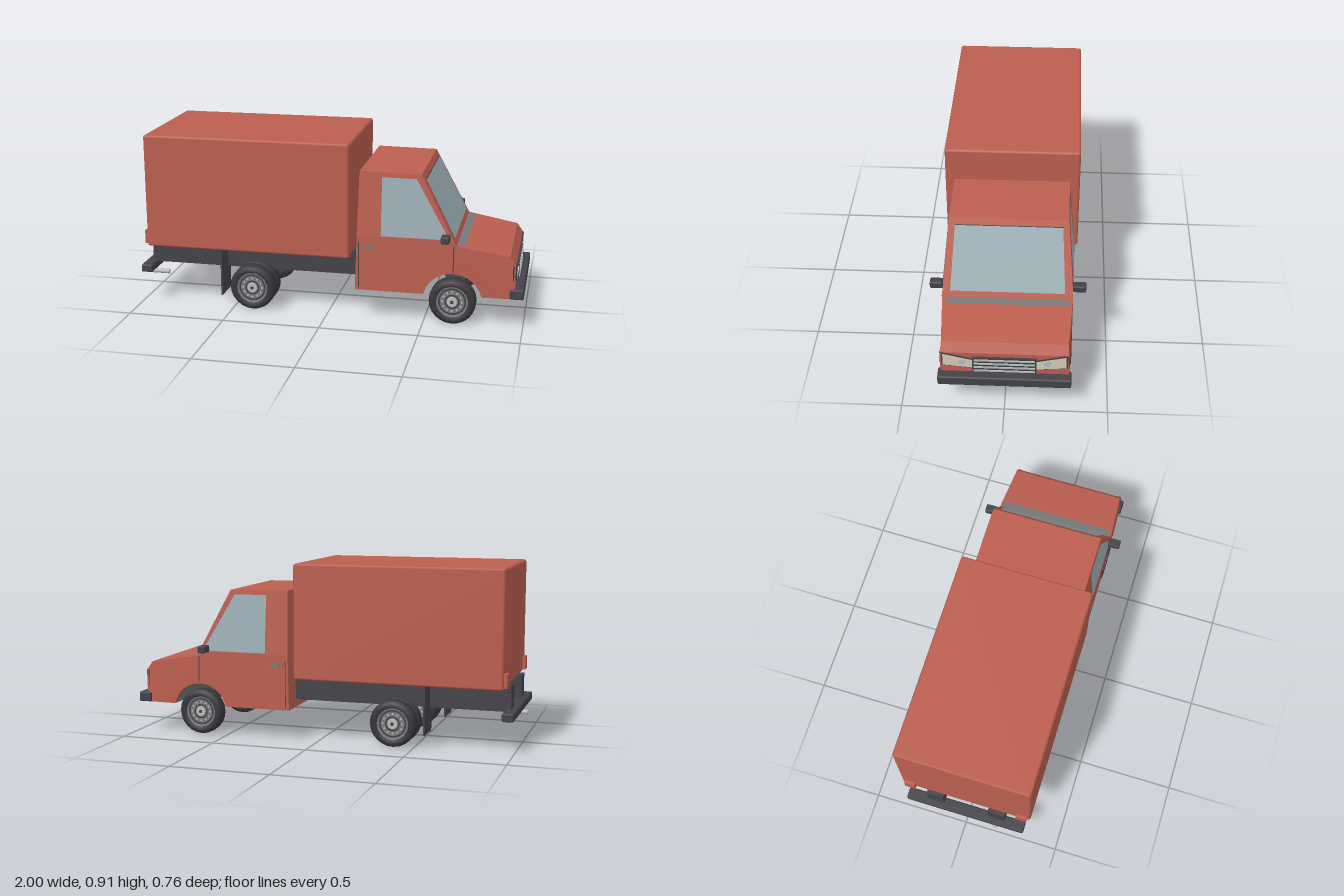
import * as THREE from 'three';
import { RoundedBoxGeometry } from 'three/addons/geometries/RoundedBoxGeometry.js';

const mat = (name, color, side = THREE.FrontSide) => {
  const m = new THREE.MeshStandardMaterial({ color, side });
  m.name = name;
  return m;
};

export function createModel() {
  const truck = new THREE.Group();
  truck.name = 'boxTruck';
  const paint = mat('red paint', 0xbb5e4f);
  const dark = mat('dark plastic', 0x434348, THREE.DoubleSide);
  const rubber = mat('tyre rubber', 0x38383c);
  const glass = mat('window glass', 0x9cafb5, THREE.DoubleSide);
  const lamp = mat('headlight cream', 0xd2ceb6, THREE.DoubleSide);
  const steel = mat('rim grey', 0x77797b, THREE.DoubleSide);
  const chrome = mat('chrome', 0xbcbcbc);

  const add = (name, geo, material, parent = truck) => {
    const m = new THREE.Mesh(geo, material);
    m.name = name;
    parent.add(m);
    return m;
  };
  // box given by its limits on each axis, optionally chamfered
  const block = (name, x0, x1, y0, y1, z0, z1, material, r = 0) => {
    const s = [x1 - x0, y1 - y0, Math.abs(z1 - z0)];
    const geo = r ? new RoundedBoxGeometry(...s, 1, r) : new THREE.BoxGeometry(...s);
    const m = add(name, geo, material);
    m.position.set((x0 + x1) / 2, (y0 + y1) / 2, (z0 + z1) / 2);
    return m;
  };
  // flat four-cornered panel
  const panel = (name, corners, material) => {
    const g = new THREE.BufferGeometry();
    g.setAttribute('position', new THREE.Float32BufferAttribute(
      [0, 1, 2, 0, 2, 3].flatMap(i => corners[i]), 3));
    g.computeVertexNormals();
    return add(name, g, material);
  };
  // half width of the cab at a point of its side profile
  const half = (x, y) => {
    if (y > 0.44) return 0.319 - 0.029 * (y - 0.44) / 0.328;
    const taper = Math.max(0, (x - 0.66) / 0.295);
    return 0.322 - 0.003 * (y - 0.155) / 0.285 - taper * 0.014
      - (y > 0.36 ? taper * 0.006 : 0);
  };
  // side profile extruded across the truck, then shaped to the half width
  const body = (name, shape) => {
    const g = new THREE.ExtrudeGeometry(shape, { depth: 2, bevelEnabled: false, curveSegments: 12 });
    const p = g.attributes.position;
    for (let i = 0; i < p.count; i++) {
      p.setZ(i, (p.getZ(i) - 1) * half(p.getX(i), p.getY(i)));
    }
    g.computeVertexNormals();
    return add(name, g, paint);
  };

  // Cargo box and frame
  block('cargoBox', -0.95, 0.12, 0.32, 0.91, -0.342, 0.342, paint, 0.012);
  block('rearBumper', -1, -0.94, 0.165, 0.207, -0.318, 0.318, dark, 0.008);
  for (const s of [1, -1]) {
    block('frameRail', -0.97, 0.17, 0.195, 0.325, s * 0.12, s * 0.21, dark);
    block('mudFlap', -0.561, -0.553, 0.07, 0.322, s * 0.17, s * 0.32, dark);
    block('tailLight', -0.966, -0.945, 0.33, 0.4, s * 0.27, s * 0.325, paint);
  }
  const exhaust = add('exhaustPipe', new THREE.CylinderGeometry(0.013, 0.013, 0.1, 12), chrome);
  exhaust.rotation.z = Math.PI / 2;
  exhaust.position.set(-0.95, 0.125, 0.164);

  // Lower cab with hood and wheel arches
  const lower = new THREE.Shape();
  lower.moveTo(0.15, 0.155);
  lower.lineTo(0.499, 0.155);
  lower.absarc(0.645, 0.12, 0.15, Math.PI - 0.236, 0.236, true);
  lower.lineTo(0.955, 0.155);
  lower.lineTo(0.955, 0.327);
  lower.lineTo(0.925, 0.371);
  lower.lineTo(0.66, 0.415);
  lower.lineTo(0.647, 0.44);
  lower.lineTo(0.157, 0.44);
  body('lowerCab', lower);

  // Upper cab
  body('upperCab', new THREE.Shape([[0.157, 0.44], [0.647, 0.44], [0.477, 0.764], [0.165, 0.768]]
    .map(p => new THREE.Vector2(...p))));

  // Windscreen and cowl strip
  panel('windscreen', [[0.649, 0.446, 0.28], [0.649, 0.446, -0.28],
    [0.498, 0.734, -0.262], [0.498, 0.734, 0.262]], glass);
  panel('windscreenTrim', [[0.498, 0.734, 0.264], [0.498, 0.734, -0.264],
    [0.496, 0.738, -0.264], [0.496, 0.738, 0.264]], dark);
  panel('cowlStrip', [[0.664, 0.418, 0.3], [0.664, 0.418, -0.3],
    [0.7, 0.412, -0.3], [0.7, 0.412, 0.3]], steel);

  // Wheel arch liner and front crossmember
  const liner = add('archLiner', new THREE.CylinderGeometry(0.147, 0.147, 0.6, 10, 1, true,
    Math.PI / 2 + 0.25, 1.25).rotateX(Math.PI / 2), steel);
  liner.position.set(0.645, 0.12, 0);
  block('frontCrossmember', 0.6, 0.7, 0.17, 0.22, -0.25, 0.25, dark);

  // Cab side details
  for (const s of [1, -1]) {
    const onSide = ([x, y]) => [x, y, s * (half(x, y) + 0.003)];
    panel('sideWindow', [[0.28, 0.445], [0.625, 0.445], [0.453, 0.742], [0.28, 0.742]].map(onSide), glass);
    panel('rearDoorSeam', [[0.166, 0.17], [0.171, 0.17], [0.171, 0.41], [0.166, 0.41]].map(onSide), dark);
    panel('frontDoorSeam', [[0.645, 0.275], [0.65, 0.275], [0.65, 0.415], [0.645, 0.415]].map(onSide), dark);
    block('doorHandle', 0.2, 0.245, 0.378, 0.392, s * 0.315, s * 0.328, steel);
    block('mirror', 0.587, 0.63, 0.439, 0.476, s * 0.318, s * 0.382, dark, 0.007);

    // Headlight with surround and bulb
    const onNose = x => ([z, y]) => [x, y, s * z];
    panel('headlightSurround', [[0.298, 0.329], [0.15, 0.293], [0.15, 0.234], [0.298, 0.247]]
      .map(onNose(0.957)), dark);
    panel('headlight', [[0.294, 0.322], [0.153, 0.288], [0.153, 0.239], [0.294, 0.252]]
      .map(onNose(0.961)), lamp);
    panel('lightCorner', [[0.961, 0.327, s * 0.298], [0.961, 0.25, s * 0.298],
      [0.942, 0.25, s * 0.31], [0.942, 0.327, s * 0.31]], dark);
    const bulb = add('headlightBulb', new THREE.CylinderGeometry(0.017, 0.017, 0.006, 16), chrome);
    bulb.rotation.z = -Math.PI / 2;
    bulb.position.set(0.962, 0.277, s * 0.204);
  }

  // Grille and front bumper
  block('grille', 0.95, 0.965, 0.215, 0.306, -0.153, 0.153, dark);
  for (let i = 0; i < 4; i++) {
    const y = 0.226 + i * 0.0222;
    block('grilleBar', 0.962, 0.969, y - 0.0045, y + 0.0045, -0.146, 0.146, chrome);
  }
  block('frontBumper', 0.93, 1, 0.155, 0.207, -0.32, 0.32, dark, 0.008);

  // Wheels: tyre, dished rim and hub, facing outward on both sides
  const lathe = pts => new THREE.LatheGeometry(pts.map(p => new THREE.Vector2(...p)), 24)
    .rotateX(Math.PI / 2);
  const tyreGeo = lathe([[0.083, -0.035], [0.105, -0.035], [0.119, -0.02], [0.119, 0.02],
    [0.105, 0.035], [0.083, 0.035], [0.08, 0.025], [0.08, -0.025], [0.083, -0.035]]);
  const rimGeo = lathe([[0.081, 0.031], [0.074, 0.02], [0.03, 0.026], [0, 0.026]]);
  const hubGeo = new THREE.CylinderGeometry(0.025, 0.028, 0.012, 16).rotateX(Math.PI / 2);
  const capGeo = new THREE.CylinderGeometry(0.009, 0.009, 0.004, 12).rotateX(Math.PI / 2);
  const studGeo = new THREE.CylinderGeometry(0.005, 0.005, 0.004, 8).rotateX(Math.PI / 2);
  const wheel = (name, x, z, s) => {
    const g = new THREE.Group();
    g.name = name;
    add('tyre', tyreGeo, rubber, g);
    add('rim', rimGeo, steel, g);
    add('rimRing', new THREE.RingGeometry(0.062, 0.071, 24), dark, g).position.z = 0.0245;
    add('hubRing', new THREE.RingGeometry(0.03, 0.038, 24), dark, g).position.z = 0.0275;
    add('hub', hubGeo, chrome, g).position.z = 0.027;
    add('hubCap', capGeo, dark, g).position.z = 0.034;
    for (let i = 0; i < 12; i++) {
      const a = i * Math.PI / 6;
      add('stud', studGeo, chrome, g).position.set(0.05 * Math.cos(a), 0.05 * Math.sin(a), 0.025);
    }
    g.position.set(x, 0.12, s * z);
    if (s < 0) g.rotation.y = Math.PI;
    truck.add(g);
  };
  for (const s of [1, -1]) {
    wheel('frontWheel', 0.645, 0.285, s);
    wheel('rearOuterWheel', -0.395, 0.285, s);
    wheel('rearInnerWheel', -0.395, 0.203, s);
  }
  return truck;
}
